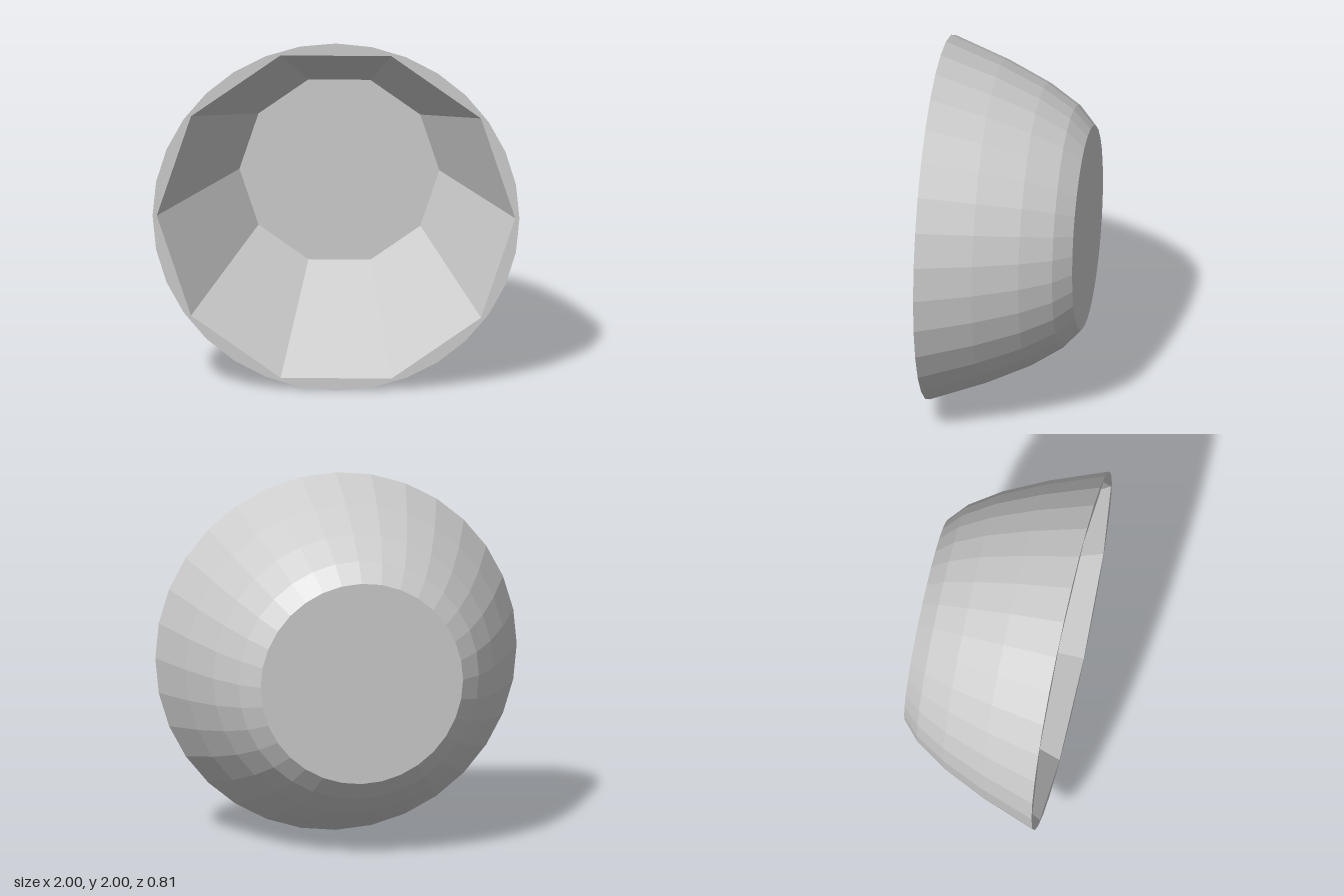
import * as THREE from 'three';

const FRONT = 0.405, BACK = -0.405, FLOOR = -0.39;
const OUTER_SIDES = 32, INNER_SIDES = 10;
const RIM_RADIUS = 1, MOUTH_RADIUS = 0.977, FLOOR_RADIUS = 0.545;

// Faceted surface of revolution about z, from [radius, z] pairs, with a corner on the x axis
function revolve(profile, sides) {
  const points = profile.map(([r, z]) => new THREE.Vector2(r, z));
  return new THREE.LatheGeometry(points, sides, Math.PI / 2).rotateX(Math.PI / 2);
}

// Corners of a regular polygon in the xy plane
function polygon(radius, sides) {
  return Array.from({ length: sides }, (_, i) => {
    const a = (i / sides) * Math.PI * 2;
    return new THREE.Vector2(radius * Math.cos(a), radius * Math.sin(a));
  });
}

export function createModel() {
  const group = new THREE.Group();
  group.name = 'bowl';
  const material = new THREE.MeshStandardMaterial({ color: 0xcccccc, flatShading: true });

  const add = (name, geometry) => {
    const mesh = new THREE.Mesh(geometry, material);
    mesh.name = name;
    mesh.position.y = 1;
    group.add(mesh);
  };

  // Curved outside wall with the flat back
  add('outerShell', revolve([
    [0, BACK], [0.56, BACK], [0.665, -0.31], [0.775, -0.14], [0.887, 0.1], [RIM_RADIUS, FRONT],
  ], OUTER_SIDES));

  // Ten-sided cavity; the profile runs inward so its faces point into the bowl
  add('cavity', revolve([
    [MOUTH_RADIUS, FRONT], [FLOOR_RADIUS, FLOOR], [0, FLOOR],
  ], INNER_SIDES));

  // Flat rim between the round outside and the ten-sided mouth
  const rim = new THREE.Shape(polygon(RIM_RADIUS, OUTER_SIDES));
  rim.holes.push(new THREE.Path(polygon(MOUTH_RADIUS, INNER_SIDES)));
  add('rim', new THREE.ShapeGeometry(rim).translate(0, 0, FRONT));

  return group;
}
